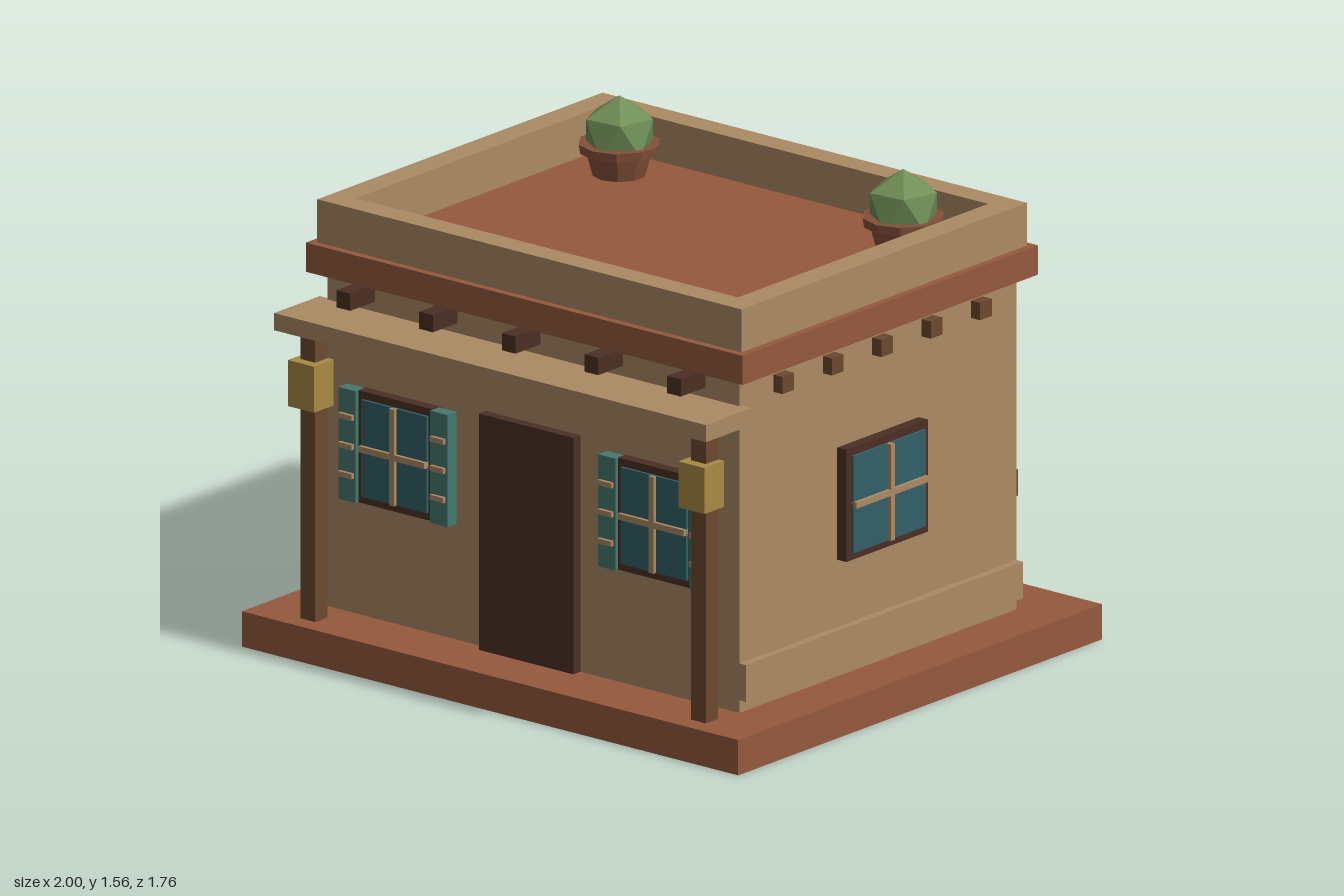
import * as THREE from 'three';

const mat = (name, color, flatShading = false) => {
  const m = new THREE.MeshStandardMaterial({ color, flatShading });
  m.name = name;
  return m;
};

export function createModel() {
  const adobe = mat('adobe', 0xab8a64);
  const brick = mat('brick', 0x955a3d);
  const darkWood = mat('darkWood', 0x4a2e23);
  const wood = mat('wood', 0x6c482f);
  const glass = mat('glass', 0x316067);
  const teal = mat('teal', 0x467870);
  const brass = mat('brass', 0xa98a45);
  const leaf = mat('leaf', 0x718f58, true);
  const herb = mat('herb', 0x466a46, true);
  const clay = mat('clay', 0x85503a, true);

  const model = new THREE.Group();
  model.name = 'adobeHouse';

  const add = (parent, name, geo, material, x, y, z) => {
    const m = new THREE.Mesh(geo, material);
    m.name = name;
    m.position.set(x, y, z);
    parent.add(m);
    return m;
  };
  // Box given by its ranges on each axis
  const box = (parent, name, material, [x0, x1], [y0, y1], [z0, z1]) =>
    add(parent, name, new THREE.BoxGeometry(x1 - x0, y1 - y0, z1 - z0), material,
      (x0 + x1) / 2, (y0 + y1) / 2, (z0 + z1) / 2);
  const around = (c, size) => [c - size / 2, c + size / 2];

  // Faceted bush with one corner pointing up
  const bushGeo = (r) => new THREE.IcosahedronGeometry(r, 0).rotateZ(-Math.atan(2 / (1 + Math.sqrt(5))));

  // Base, walls, cornice
  box(model, 'base', brick, [-1, 1], [0, 0.115], [-0.88, 0.88]);
  box(model, 'walls', adobe, [-0.83, 0.83], [0.115, 1.205], [-0.67, 0.67]);
  box(model, 'corniceAndRoof', brick, [-0.88, 0.88], [1.205, 1.3], [-0.715, 0.715]);

  // Parapet ring around the roof
  const ring = new THREE.Shape([[-0.855, -0.69], [0.855, -0.69], [0.855, 0.69], [-0.855, 0.69]]
    .map(([x, y]) => new THREE.Vector2(x, y)));
  ring.holes.push(new THREE.Path([[-0.77, -0.605], [-0.77, 0.605], [0.77, 0.605], [0.77, -0.605]]
    .map(([x, y]) => new THREE.Vector2(x, y))));
  const ringGeo = new THREE.ExtrudeGeometry(ring, { depth: 0.14, bevelEnabled: false }).rotateX(-Math.PI / 2);
  add(model, 'parapet', ringGeo, adobe, 0, 1.3, 0);

  // Doors on front and back
  for (const s of [-1, 1]) {
    add(model, s > 0 ? 'frontDoor' : 'backDoor', new THREE.BoxGeometry(0.38, 0.77, 0.035),
      darkWood, 0, 0.5, s * 0.6875);
  }

  // Window facing +z, origin at its centre on the wall
  const addWindow = (name, x, z, turn, width, shutters) => {
    const g = new THREE.Group();
    g.name = name;
    g.position.set(x, 0.678, z);
    g.rotation.y = turn;
    model.add(g);
    box(g, 'frame', darkWood, around(0, width), around(0, 0.365), [-0.01, 0.038]);
    box(g, 'pane', glass, around(0, width - 0.045), around(0, 0.315), [0.03, 0.048]);
    box(g, 'uprightBar', adobe, around(0, 0.02), around(0, 0.315), [0.04, 0.06]);
    box(g, 'crossBar', adobe, around(0, width - 0.045), around(0, 0.02), [0.04, 0.06]);
    if (!shutters) return;
    for (const s of [-1, 1]) {
      const sx = s * 0.185;
      box(g, 'shutter', teal, around(sx, 0.07), around(0, 0.365), [0.008, 0.052]);
      for (const y of [-0.095, 0, 0.095])
        box(g, 'shutterSlat', adobe, around(sx, 0.055), around(y, 0.017), [0.045, 0.064]);
    }
  };
  for (const s of [-1, 1]) {
    addWindow('frontWindow', s * 0.523, 0.67, 0, 0.31, true);
    addWindow('backWindow', s * 0.523, -0.67, Math.PI, 0.31, true);
    addWindow('sideWindow', s * 0.83, 0, s * Math.PI / 2, 0.395, false);
  }

  // Front porch: slab, posts, lanterns
  box(model, 'porchRoof', adobe, [-0.87, 0.87], [1.058, 1.114], [0.66, 0.88]);
  for (const s of [-1, 1]) {
    box(model, 'porchPost', wood, around(s * 0.787, 0.06), [0.115, 1.058], around(0.787, 0.06));
    box(model, 'lantern', brass, around(s * 0.787, 0.105), [0.81, 0.96], around(0.803, 0.095));
  }

  // Roof beam ends
  for (let i = -2; i <= 2; i++) {
    box(model, 'frontBeam', darkWood, around(i * 0.333, 0.055), [1.147, 1.203], [0.65, 0.79]);
    for (const s of [-1, 1])
      add(model, 'sideBeam', new THREE.BoxGeometry(0.06, 0.056, 0.056), wood, s * 0.837, 1.148, i * 0.239);
  }

  // Side ledges
  for (const s of [-1, 1])
    add(model, 'sideLedge', new THREE.BoxGeometry(0.04, 0.12, 1.34), adobe, s * 0.836, 0.216, 0);

  // Back door canopy and posts
  box(model, 'backCanopy', adobe, [-0.26, 0.26], [0.977, 1.03], [-0.875, -0.66]);
  for (const s of [-1, 1])
    box(model, 'canopyPost', teal, around(s * 0.213, 0.038), [0.115, 0.955], [-0.737, -0.698]);

  // Planters, ledge strips and roof pots
  for (const s of [-1, 1]) {
    box(model, 'planter', wood, around(s * 0.525, 0.36), [0.42, 0.505], [-0.828, -0.7]);
    for (let i = -1; i <= 1; i++)
      add(model, 'planterHerb', bushGeo(0.06), herb, s * 0.525 + i * 0.105, 0.55, -0.765)
        .rotation.y = 0.5;
    for (const y of [0.22, 0.345, 0.47])
      box(model, 'wallStrip', adobe, around(s * 0.565, 0.26), around(y, 0.026), [-0.698, -0.66]);

    const pot = new THREE.Group();
    pot.name = 'roofPot';
    pot.position.set(s * 0.572, 1.3, -0.432);
    model.add(pot);
    add(pot, 'potBody', new THREE.CylinderGeometry(0.11, 0.085, 0.09, 10), clay, 0, 0.045, 0);
    add(pot, 'potRim', new THREE.CylinderGeometry(0.13, 0.125, 0.03, 10), clay, 0, 0.09, 0);
    add(pot, 'bush', bushGeo(0.122), leaf, 0, 0.134, 0).rotation.y = 0.4;
  }
  return model;
}
